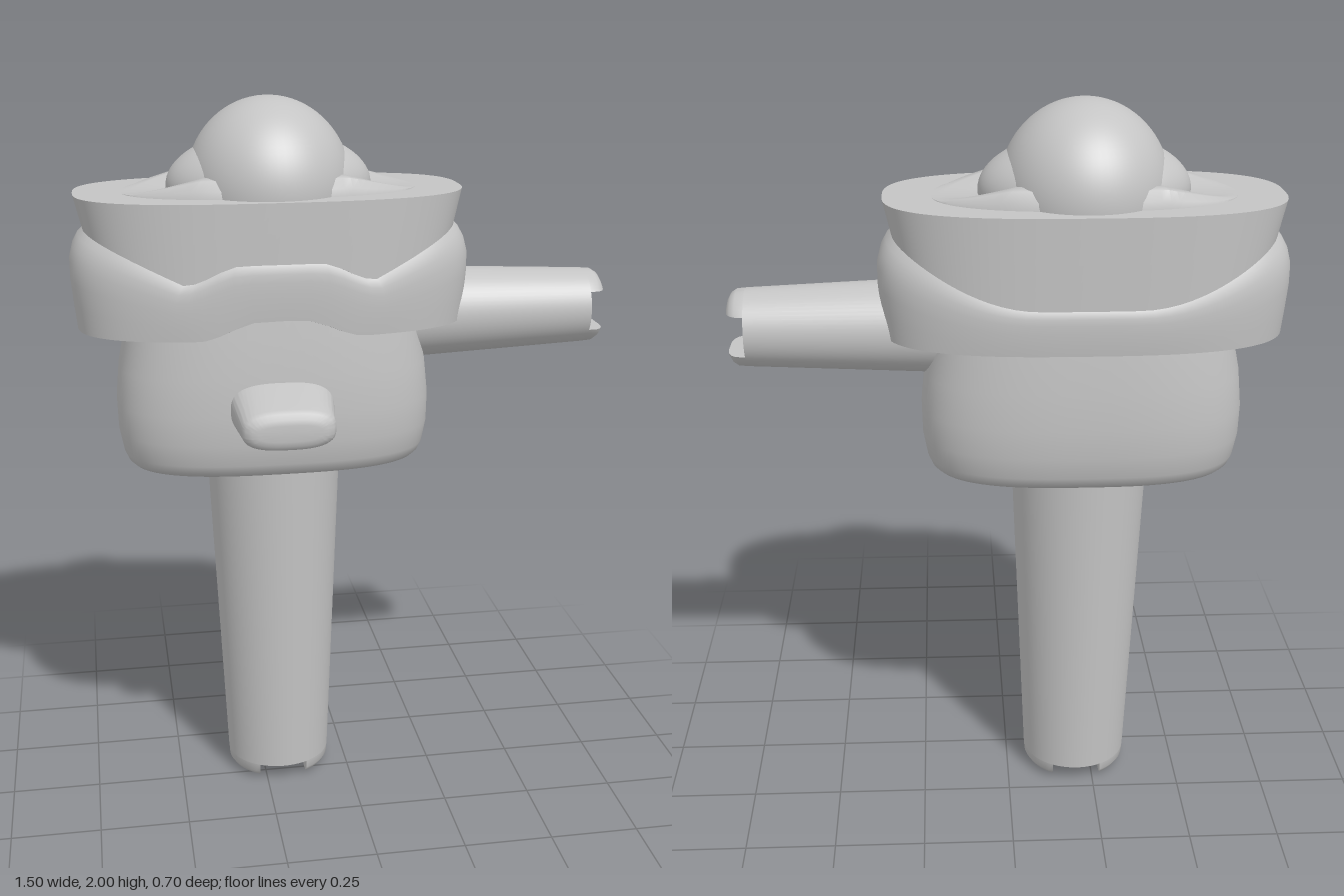
import * as THREE from 'three';
import { toCreasedNormals } from 'three/addons/utils/BufferGeometryUtils.js';

const SEG = 96;
const CX = -0.202, CZ = -0.085;
const clamp = THREE.MathUtils.clamp;
const smooth = THREE.MathUtils.smoothstep;

// Skin closed rings, listed from low to high, and cap both ends
function loft(rings, crease = 0.6) {
  const pos = [], idx = [], n = rings[0].length, last = rings.length - 1;
  rings.forEach(r => r.forEach(p => pos.push(...p)));
  for (let i = 0; i < last; i++) {
    for (let j = 0; j < n; j++) {
      const a = i * n + j, b = i * n + (j + 1) % n;
      idx.push(a, a + n, b, b, a + n, b + n);
    }
  }
  [0, last].forEach(i => {
    const c = pos.length / 3;
    pos.push(...[0, 1, 2].map(k => rings[i].reduce((s, p) => s + p[k], 0) / n));
    for (let j = 0; j < n; j++) {
      const a = i * n + j, b = i * n + (j + 1) % n;
      if (i === 0) idx.push(c, a, b); else idx.push(c, b, a);
    }
  });
  const g = new THREE.BufferGeometry();
  g.setAttribute('position', new THREE.Float32BufferAttribute(pos, 3));
  g.setIndex(idx);
  return toCreasedNormals(g, crease);
}

// Rounded-oval ring; y may be a function of (sideways fraction 0..1, isFront)
function oval(rx, rz, y, power = 2.8) {
  return Array.from({ length: SEG }, (_, j) => {
    const t = (j / SEG) * Math.PI * 2, c = Math.cos(t), s = Math.sin(t);
    const u = Math.sign(c) * Math.abs(c) ** (2 / power);
    const v = Math.sign(s) * Math.abs(s) ** (2 / power);
    return [rx * u, typeof y === 'function' ? y(Math.abs(u), s > 0) : y, rz * v];
  });
}

export function createModel() {
  const root = new THREE.Group();
  root.name = 'figure';
  const grey = new THREE.MeshStandardMaterial({ color: 0xc4c4c4 });
  grey.name = 'plain grey';

  function add(name, geometry, parent = root, x = CX, y = 0, z = CZ) {
    const m = new THREE.Mesh(geometry, grey);
    m.name = name;
    m.position.set(x, y, z);
    parent.add(m);
    return m;
  }

  // Tapered peg with two rounded prongs at its tip (tip at origin, pointing down)
  function limb(name, length, rBase, rTip, slot) {
    const g = new THREE.Group(), depth = 0.05;
    g.name = name;
    add(name + 'Shaft', new THREE.CylinderGeometry(rBase, rTip, length - depth, 64),
      g, 0, (length + depth) / 2, 0);
    const rings = [[0, 0.042], [0.004, 0.026], [0.013, 0.011], [0.027, 0.002], [depth + 0.005, 0]].map(([y, inset]) => {
      const r = rTip - inset, a = Math.acos(slot / r);
      return Array.from({ length: 25 }, (_, j) => {
        const t = -a + (2 * a * j) / 24;
        return [r * Math.cos(t), y, r * Math.sin(t)];
      });
    });
    const prong = loft(rings);
    [0, Math.PI].forEach(turn => {
      add(name + 'Prong', prong, g, 0, 0, 0).rotation.y = turn;
    });
    root.add(g);
    return g;
  }

  // Leg and side arm
  limb('leg', 1.05, 0.192, 0.15, 0.07).position.set(CX, 0, -0.078);
  const arm = limb('arm', 0.7, 0.135, 0.106, 0.055);
  arm.position.set(0.75, 1.394, -0.078);
  arm.rotation.z = Math.PI / 2;

  // Body
  add('body', loft([
    [0.385, 0.21, 1.0], [0.402, 0.228, 1.004], [0.415, 0.243, 1.017], [0.425, 0.252, 1.04],
    [0.436, 0.263, 1.1], [0.438, 0.266, 1.18], [0.428, 0.263, 1.28], [0.405, 0.254, 1.39],
    [0.385, 0.244, 1.5],
  ].map(([rx, rz, y]) => oval(rx, rz, y)), 0.7), root, CX, 0, -0.078);

  // Peg nose: ovals stacked forwards and tilted onto z
  const nose = loft([
    [0.142, 0.077, 0, 1.204], [0.138, 0.073, 0.08, 1.2], [0.129, 0.06, 0.145, 1.188],
    [0.124, 0.055, 0.2, 1.185], [0.116, 0.049, 0.215, 1.184], [0.1, 0.036, 0.224, 1.183],
    [0.085, 0.022, 0.226, 1.182],
  ].map(([rx, ry, z, y]) => oval(rx, ry, z, 2.8).map(([a, b, c]) => [a, y - c, b])), 0.7);
  add('nose', nose, root, -0.206, 0, 0.12);

  // Rolled band, arched at the front, meeting the wavy lower edge of the brim
  const bandLow = (u, front) => 1.39 + (front ? 0.05 * (1 - smooth(u, 0.1, 0.42)) : 0);
  const brimLow = (u, front) => {
    if (!front) return 1.66 - 0.15 * Math.sin(clamp((1 - u) / 0.75, 0, 1) * Math.PI / 2);
    return 1.66 - 0.12 * clamp((1 - u) / 0.5, 0, 1) + 0.05 * (1 - smooth(u, 0.2, 0.5));
  };
  add('band', loft([
    [0.534, 0.259, 0], [0.541, 0.263, 0.25], [0.547, 0.265, 0.5], [0.547, 0.266, 0.7],
    [0.537, 0.265, 0.84], [0.522, 0.262, 0.94], [0.506, 0.258, 1],
  ].map(([rx, rz, t]) => oval(rx, rz,
    (u, f) => THREE.MathUtils.lerp(bandLow(u, f), brimLow(u, f), t)))));

  // Flared brim with a flat top
  add('brim', loft([
    oval(0.508, 0.259, brimLow),
    oval(0.519, 0.261, (u, f) => (brimLow(u, f) + 1.752) / 2),
    oval(0.53, 0.263, 1.752),
  ]));

  // Raised folds on the brim, high at front and back
  const fold = h => u => 1.752 + h * clamp((1 - u) / 0.5, 0, 1);
  add('crownFold', loft([
    oval(0.405, 0.197, 1.745, 2.4), oval(0.402, 0.194, fold(0.02), 2.4),
    oval(0.392, 0.18, fold(0.046), 2.4), oval(0.37, 0.155, fold(0.052), 2.4),
    oval(0.3, 0.1, fold(0.02), 2.4),
  ], 0.9));

  // Dome with side bulges
  const ball = new THREE.SphereGeometry(1, 64, 40);
  add('dome', ball, root, CX, 1.762, -0.08).scale.set(0.225, 0.238, 0.239);
  add('sideBulges', ball, root, CX, 1.765, -0.08).scale.set(0.28, 0.145, 0.185);

  return root;
}
